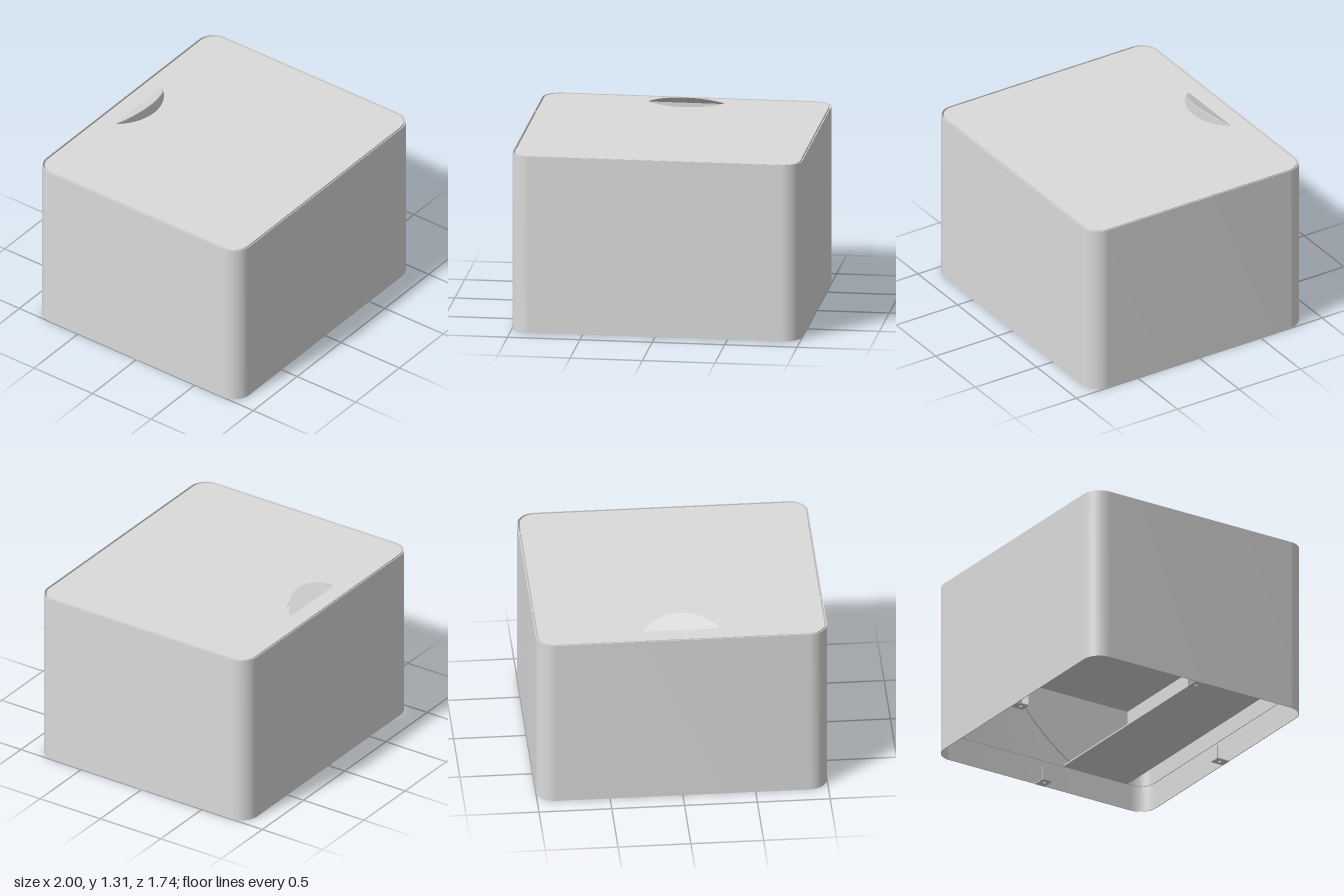
import * as THREE from 'three';
import { toCreasedNormals } from 'three/addons/utils/BufferGeometryUtils.js';

const metal = new THREE.MeshStandardMaterial({ color: 0xdadada, side: THREE.DoubleSide });
metal.name = 'sheet metal';

const W = 1, D = 0.87, LID_Y = 1.248, SHEET = 0.006;
const FRAME_X = 0.977, FRAME_Z = 0.695, LOW = 0.182, HIGH = 0.72;

function mesh(name, geometry, parent, x = 0, y = 0, z = 0) {
  const m = new THREE.Mesh(geometry, metal);
  m.name = name;
  m.position.set(x, y, z);
  parent.add(m);
  return m;
}

function box(name, parent, x0, x1, y0, y1, z0, z1) {
  return mesh(name, new THREE.BoxGeometry(x1 - x0, y1 - y0, z1 - z0), parent,
    (x0 + x1) / 2, (y0 + y1) / 2, (z0 + z1) / 2);
}

// Rounded rectangle, inset from the outer footprint
function footprint(target, inset) {
  const w = W - inset, d = D - inset, r = 0.13 - inset;
  target.moveTo(w, -d + r);
  target.lineTo(w, d - r);
  target.absarc(w - r, d - r, r, 0, Math.PI / 2);
  target.absarc(-w + r, d - r, r, Math.PI / 2, Math.PI);
  target.absarc(-w + r, -d + r, r, Math.PI, Math.PI * 1.5);
  target.absarc(w - r, -d + r, r, Math.PI * 1.5, Math.PI * 2);
  return target;
}

// Half-moon tongue outline: hinge on y = top, rounded edge towards -y
function tongueOutline(target, top) {
  const half = 0.257, straight = 0.015, sag = 0.12;
  const r = (half * half + sag * sag) / (2 * sag);
  const a = Math.asin(half / r);
  target.moveTo(half, top);
  target.lineTo(-half, top);
  target.lineTo(-half, top - straight);
  target.absarc(0, top - straight - sag + r, r, -Math.PI / 2 - a, -Math.PI / 2 + a);
  target.lineTo(half, top);
  return target;
}

// Extrude a plan outline upwards
function slab(shape, height) {
  const g = new THREE.ExtrudeGeometry(shape, { depth: height, bevelEnabled: false, curveSegments: 18 });
  g.rotateX(-Math.PI / 2);
  return toCreasedNormals(g, 0.6);
}

// Thin wall following the footprint
function ringWall(inset, height) {
  const shape = footprint(new THREE.Shape(), inset);
  shape.holes.push(footprint(new THREE.Path(), inset + SHEET));
  return slab(shape, height);
}

export function createModel() {
  const model = new THREE.Group();
  model.name = 'sheetMetalBox';

  // Outer shell, open at top and bottom
  mesh('outerShell', ringWall(0, 1.248), model, 0, 0.002, 0);

  // Inner cover: a sleeve inside the shell, topped by the lid with its half-moon cut-out
  mesh('innerSleeve', ringWall(0.017, LID_Y - SHEET - LOW), model, 0, LOW, 0);
  const lid = footprint(new THREE.Shape(), 0.017);
  lid.holes.push(tongueOutline(new THREE.Path(), 0.732));
  mesh('lid', slab(lid, SHEET), model, 0, LID_Y - SHEET, 0);

  // Tongue bent up from the cut-out
  const tongue = mesh('liftTongue', slab(tongueOutline(new THREE.Shape(), 0), 0.004),
    model, 0, LID_Y - 0.004, -0.732);
  tongue.rotation.x = -Math.PI / 6;

  // Inner frame across the sleeve: upper shelf, front web and lower shelf
  const frame = new THREE.Group();
  frame.name = 'innerFrame';
  model.add(frame);
  box('upperShelf', frame, -FRAME_X, FRAME_X, HIGH, HIGH + 0.01, -0.27, FRAME_Z + 0.01);
  box('frontWeb', frame, -FRAME_X, FRAME_X, LOW, HIGH, FRAME_Z, FRAME_Z + 0.01);
  box('lowerShelf', frame, -FRAME_X, FRAME_X, LOW, LOW + 0.01, 0.18, FRAME_Z);

  // Curved side gussets joining the shelves, lying against the sleeve
  const gusset = new THREE.Shape();
  gusset.moveTo(FRAME_Z, LOW);
  gusset.lineTo(FRAME_Z, HIGH);
  gusset.lineTo(-0.26, HIGH);
  gusset.quadraticCurveTo(-0.08, 0.4, 0.29, LOW);
  const gussetGeometry = new THREE.ExtrudeGeometry(gusset, { depth: 0.012, bevelEnabled: false });
  gussetGeometry.rotateY(-Math.PI / 2);
  gussetGeometry.translate(0.006, 0, 0);
  for (const side of [-1, 1]) {
    mesh('sideGusset', gussetGeometry, frame, side * (FRAME_X - 0.007), 0, 0);
  }

  // Bottom brackets at the middle of each side: drilled foot and upright tab
  const foot = new THREE.Shape();
  foot.moveTo(-0.04, 0);
  foot.lineTo(0.04, 0);
  foot.lineTo(0.04, 0.1);
  foot.lineTo(-0.04, 0.1);
  foot.closePath();
  const hole = new THREE.Path();
  hole.absarc(0, 0.055, 0.012, 0, Math.PI * 2);
  foot.holes.push(hole);
  const footGeometry = slab(foot, SHEET);
  for (let i = 0; i < 4; i++) {
    const bracket = new THREE.Group();
    bracket.name = 'footBracket';
    bracket.rotation.y = i * Math.PI / 2;
    model.add(bracket);
    const reach = i % 2 ? W : D;
    mesh('foot', footGeometry, bracket, 0, 0, reach);
    box('uprightTab', bracket, -0.04, 0.04, 0, 0.1, reach - 0.1, reach - 0.094);
  }

  // Small clips spacing the sleeve from the side walls
  for (const side of [-1, 1]) {
    for (const z of [-0.38, 0.635]) {
      const x = side * (W - 0.012);
      box('spacerClip', model, x - 0.007, x + 0.007, LID_Y - 0.04, LID_Y - 0.01, z - 0.012, z + 0.012);
    }
  }
  return model;
}
